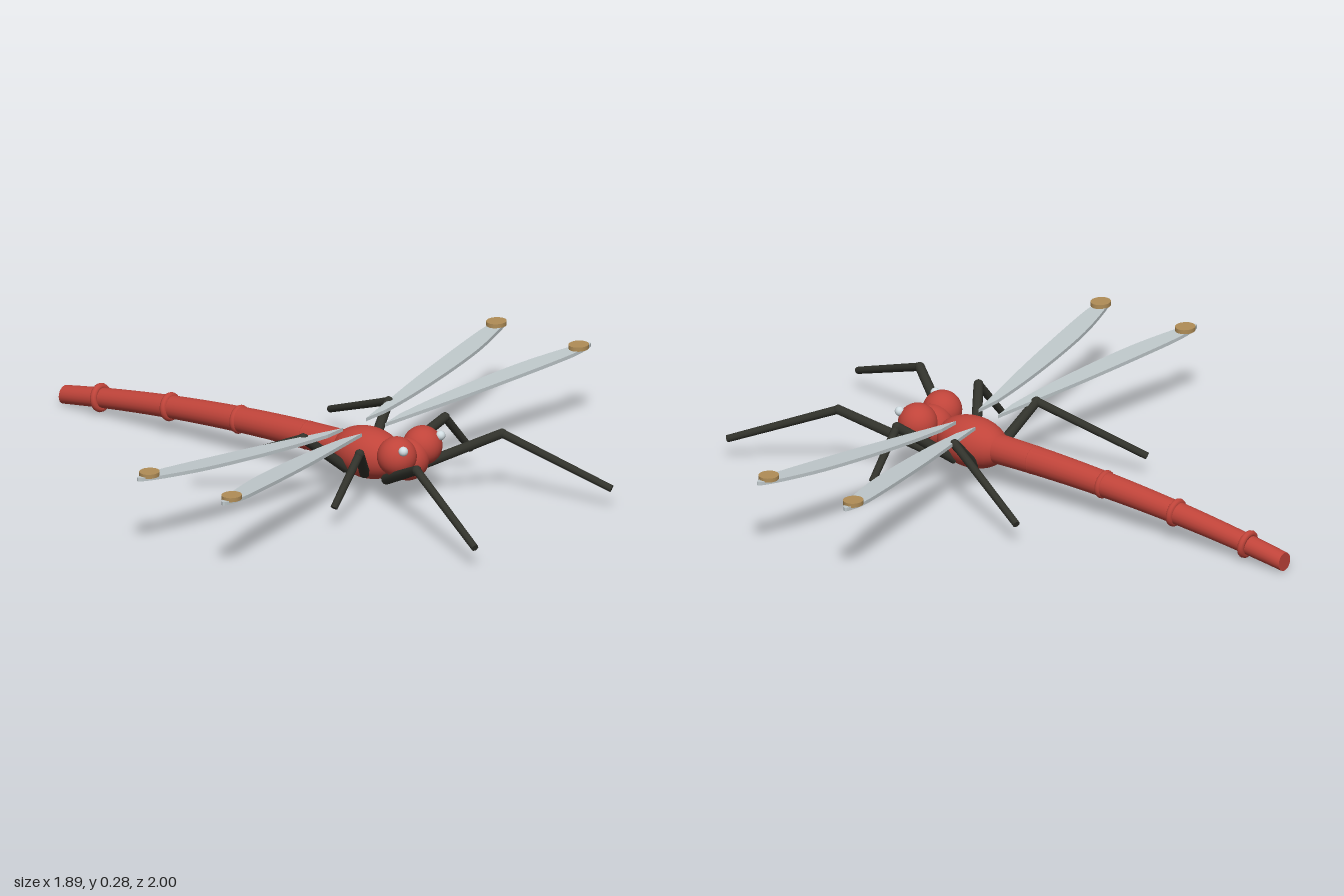
import * as THREE from 'three';

const material = (name, color) => {
  const m = new THREE.MeshStandardMaterial({ color });
  m.name = name;
  return m;
};

export function createModel() {
  const red = material('body red', 0xc0443a);
  const dark = material('leg charcoal', 0x32332c);
  const silver = material('wing silver', 0xc0c9cc);
  const gold = material('wing spot gold', 0xb08d57);
  const shine = material('eye glint', 0xd2dde2);

  const model = new THREE.Group();
  model.name = 'dragonfly';
  const add = (name, geometry, mat, x = 0, y = 0, z = 0) => {
    const mesh = new THREE.Mesh(geometry, mat);
    mesh.name = name;
    mesh.position.set(x, y, z);
    model.add(mesh);
    return mesh;
  };
  // Straight rod between two points
  const rod = (name, a, b, r0, r1) => {
    const dir = b.clone().sub(a);
    const mesh = add(name, new THREE.CylinderGeometry(r1, r0, dir.length(), 10), dark);
    mesh.position.copy(a).add(b).multiplyScalar(0.5);
    mesh.quaternion.setFromUnitVectors(new THREE.Vector3(0, 1, 0), dir.normalize());
  };

  // Thorax and head
  add('thorax', new THREE.SphereGeometry(0.085, 32, 20), red, 0, 0.135, 0.265).scale.z = 1.55;
  add('head', new THREE.SphereGeometry(0.07, 28, 18), red, 0, 0.15, 0.43);

  // Abdomen: tapered cylinder drooping toward the tail
  const START = 0.2, END = -1, DROOP = 0.0725;
  const axisY = z => 0.136 - DROOP * Math.max(0, 0.17 - z) ** 2;
  const abdomen = new THREE.CylinderGeometry(0.05, 0.031, START - END, 20, 20);
  abdomen.rotateX(Math.PI / 2).translate(0, 0, (START + END) / 2);
  const p = abdomen.attributes.position;
  for (let i = 0; i < p.count; i++) p.setY(i, p.getY(i) + axisY(p.getZ(i)));
  abdomen.computeVertexNormals();
  add('abdomen', abdomen, red);
  for (const z of [0.015, -0.27, -0.56, -0.85]) {
    const ring = add('abdomenRing', new THREE.TorusGeometry(0.036, 0.012, 10, 24), red, 0, axisY(z), z);
    ring.rotation.x = -Math.atan(2 * DROOP * (0.17 - z));
  }

  // Rear wing outline as [x, z]; the front wing is its reflection in z
  const outline = [
    [0.06, 0.208], [0.2, 0.178], [0.4, 0.135], [0.6, 0.098], [0.8, 0.065], [0.88, 0.058], [0.935, 0.063], [0.947, 0.072],
    [0.93, 0.085], [0.86, 0.112], [0.7, 0.155], [0.5, 0.188], [0.3, 0.21], [0.15, 0.218],
  ];
  const RISE = 0.06;
  const wingY = x => 0.216 + RISE * (Math.abs(x) - 0.06);

  for (const s of [1, -1]) {
    const side = s > 0 ? 'left' : 'right';

    // Eyes with small glints
    add(side + 'Eye', new THREE.SphereGeometry(0.065, 28, 18), red, s * 0.066, 0.18, 0.438);
    add(side + 'EyeGlint', new THREE.SphereGeometry(0.016, 14, 10), shine, s * 0.096, 0.217, 0.489);

    // Wings with a spot near each tip
    for (const front of [true, false]) {
      const name = side + (front ? 'Front' : 'Rear');
      const flip = z => (front ? 0.495 - z : z);
      const curve = new THREE.SplineCurve(outline.map(([x, z]) => new THREE.Vector2(s * x, flip(z))));
      const shape = new THREE.Shape([...curve.getPoints(52)]);
      const wing = new THREE.ExtrudeGeometry(shape, { depth: 0.012, bevelEnabled: false });
      wing.rotateX(Math.PI / 2);
      const w = wing.attributes.position;
      for (let i = 0; i < w.count; i++) w.setY(i, w.getY(i) + 0.006 + wingY(w.getX(i)));
      wing.computeVertexNormals();
      add(name + 'Wing', wing, silver);
      const spot = add(name + 'WingSpot', new THREE.CylinderGeometry(0.035, 0.035, 0.014, 24), gold,
        s * 0.894, wingY(0.894) + 0.011, flip(0.076));
      spot.scale.z = 0.92;
    }

    // Legs: [name, hip z, knee z, foot z]
    for (const [name, hipZ, kneeZ, footZ] of [
      ['FrontLeg', 0.385, 0.645, 0.995], ['MiddleLeg', 0.295, 0.407, 0.407], ['RearLeg', 0.22, 0.172, -0.178],
    ]) {
      const hip = new THREE.Vector3(s * 0.055, 0.085, hipZ);
      const knee = new THREE.Vector3(s * 0.22, 0.225, kneeZ);
      const foot = new THREE.Vector3(s * 0.352, 0.077, footZ);
      rod(side + name + 'Upper', hip, knee, 0.018, 0.016);
      rod(side + name + 'Lower', knee, foot, 0.014, 0.012);
      add(side + name + 'Knee', new THREE.SphereGeometry(0.016, 10, 8), dark, knee.x, knee.y, knee.z);
    }
  }
  return model;
}
